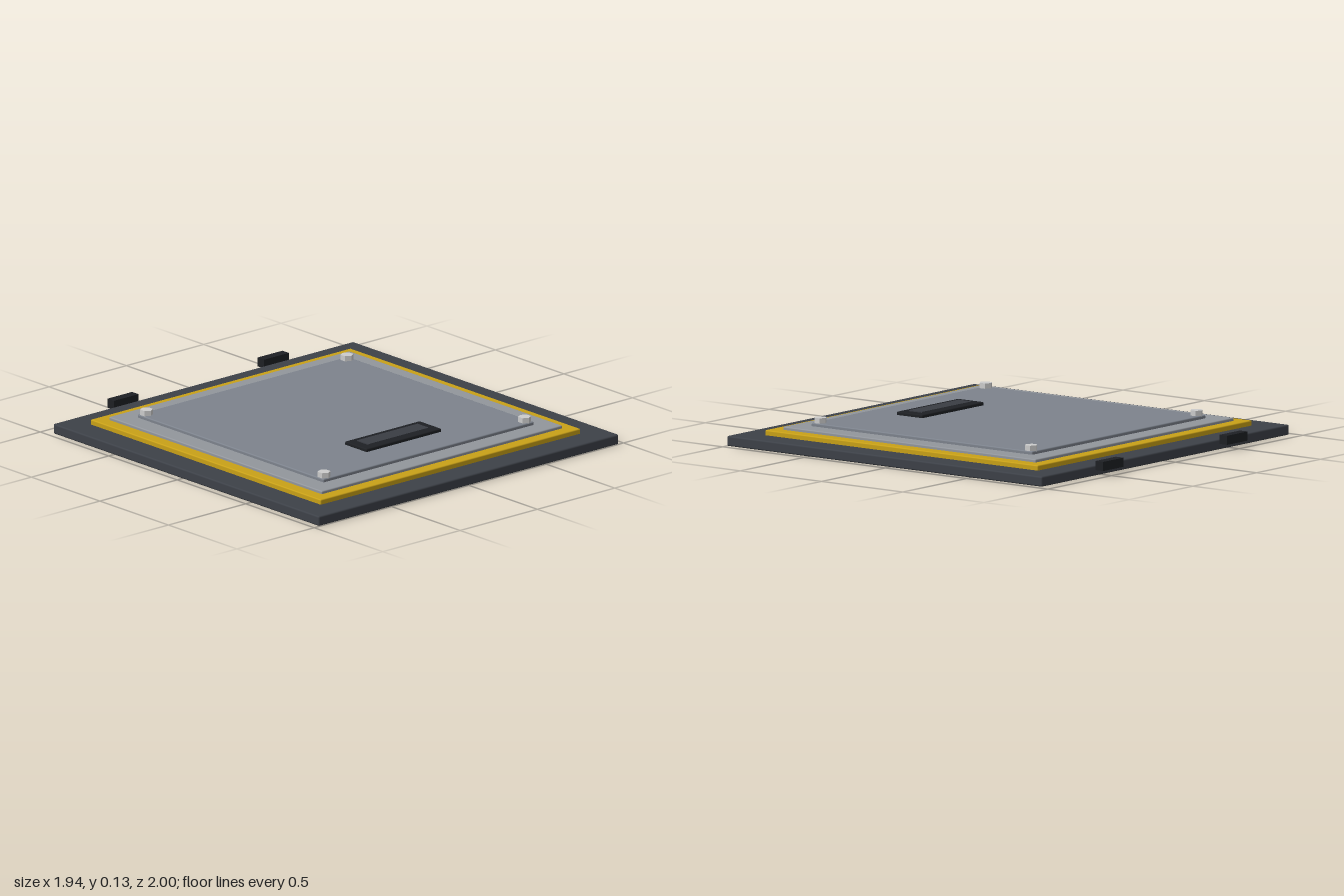
import * as THREE from 'three';
import { RoundedBoxGeometry } from 'three/addons/geometries/RoundedBoxGeometry.js';

const CENTRE_Z = 0.027; // plates sit forward of the hinges

export function createModel() {
  const model = new THREE.Group();
  model.name = 'floorHatch';

  const paint = (color) => new THREE.MeshStandardMaterial({ color });
  const darkSteel = paint(0x3d4148);
  const yellow = paint(0xc9a117);
  const frameGrey = paint(0x92969c);
  const panelGrey = paint(0x7d838d);
  const black = paint(0x1e2024);
  const gripGrey = paint(0x3a3d44);
  const boltGrey = paint(0xcccccc);
  boltGrey.flatShading = true;

  const add = (name, geometry, material, x, y, z) => {
    const mesh = new THREE.Mesh(geometry, material);
    mesh.name = name;
    mesh.position.set(x, y, z);
    model.add(mesh);
  };

  // Slab with softened edges, spanning y0 to y1
  const slab = (name, w, d, y0, y1, x, z, material, radius = 0.006) =>
    add(name, new RoundedBoxGeometry(w, y1 - y0, d, 2, radius), material, x, (y0 + y1) / 2, z);

  // Stepped stack of square plates
  slab('basePlate', 1.94, 1.94, 0, 0.05, 0, 0.03, darkSteel, 0.008);
  slab('warningBorder', 1.68, 1.68, 0.03, 0.075, 0, CENTRE_Z, yellow);
  slab('innerFrame', 1.555, 1.555, 0.05, 0.09, 0, CENTRE_Z, frameGrey);
  slab('hatchPanel', 1.36, 1.36, 0.07, 0.106, 0, CENTRE_Z, panelGrey);

  // Pull handle: dark surround with a lighter grip
  slab('handleSurround', 0.484, 0.16, 0.095, 0.122, 0, 0.447, black);
  add('handleGrip', new THREE.BoxGeometry(0.39, 0.02, 0.082), gripGrey, 0, 0.117, 0.446);

  // Hexagonal corner bolts and rear hinge blocks
  const boltGeometry = new THREE.CylinderGeometry(0.032, 0.032, 0.035, 6);
  const hingeGeometry = new THREE.BoxGeometry(0.16, 0.045, 0.047);
  for (const side of [-1, 1]) {
    for (const end of [-1, 1]) {
      add('cornerBolt', boltGeometry, boltGrey, side * 0.648, 0.1145, CENTRE_Z + end * 0.648);
    }
    add('hingeBlock', hingeGeometry, black, side * 0.486, 0.0535, -0.9765);
  }

  return model;
}
